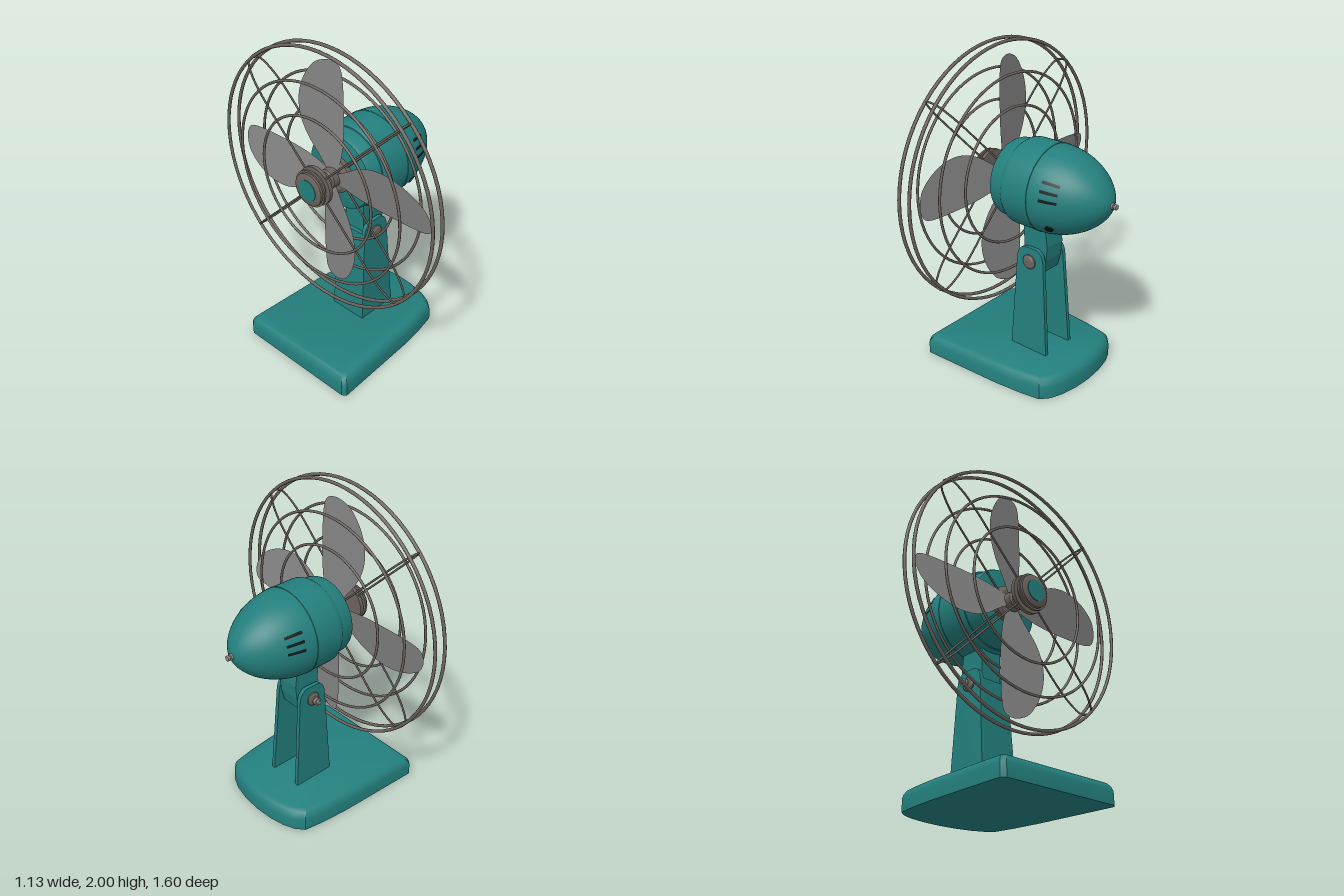
import * as THREE from 'three';
import { toCreasedNormals } from 'three/addons/utils/BufferGeometryUtils.js';

const V2 = (x, y) => new THREE.Vector2(x, y);

export function createModel() {
  const mat = (name, color, side = THREE.FrontSide) => {
    const m = new THREE.MeshStandardMaterial({ color, side });
    m.name = name;
    return m;
  };
  const teal = mat('teal enamel', 0x237f7d);
  const wire = mat('bronze wire', 0x6b635d);
  const grey = mat('blade grey', 0x858585, THREE.DoubleSide);
  const steel = mat('steel', 0x8c8985);
  const black = mat('vent black', 0x141818, THREE.DoubleSide);

  const model = new THREE.Group();
  model.name = 'deskFan';
  const head = new THREE.Group();
  head.name = 'fanHead';
  head.position.y = 1.2;
  model.add(head);

  const add = (parent, name, geo, material, x = 0, y = 0, z = 0) => {
    const m = new THREE.Mesh(geo, material);
    m.name = name;
    m.position.set(x, y, z);
    parent.add(m);
    return m;
  };
  // Turned part along the x axis from [x, radius] pairs
  const turned = (pts, seg = 48, start = 0, len = Math.PI * 2) => toCreasedNormals(
    new THREE.LatheGeometry(pts.map(([x, r]) => V2(r, x)), seg, start, len).rotateZ(-Math.PI / 2), 0.5);
  // Move every vertex of a geometry by a rule
  const warp = (geo, rule) => {
    const p = geo.attributes.position;
    for (let i = 0; i < p.count; i++) p.setXYZ(i, ...rule(p.getX(i), p.getY(i), p.getZ(i)));
    geo.computeVertexNormals();
    return geo;
  };

  // Base: tapered outline lofted upward with a rounded top edge
  const half = [[-0.57, 0.39], [-0.55, 0.414], [0, 0.388], [0.17, 0.37], [0.3, 0.347],
    [0.345, 0.295], [0.375, 0.225], [0.397, 0.12]];
  const outline = [...half, [0.405, 0], ...half.map(([x, z]) => [x, -z]).reverse()];
  const levels = [[0, 0], [0.075, 0], [0.1, 0.008], [0.12, 0.024], [0.13, 0.045]];
  const pos = [], idx = [], n = outline.length;
  for (const [y, inset] of levels)
    for (const [x, z] of outline)
      pos.push(-0.08 + (x + 0.08) * (1 - inset / 0.49), y, z * (1 - inset / 0.41));
  for (let l = 0; l < levels.length - 1; l++)
    for (let i = 0; i < n; i++) {
      const a = l * n + i, b = l * n + (i + 1) % n;
      idx.push(a, b, b + n, a, b + n, a + n);
    }
  const top = (levels.length - 1) * n;
  for (let i = 1; i < n - 1; i++) idx.push(0, i + 1, i, top, top + i, top + i + 1);
  const baseGeo = new THREE.BufferGeometry();
  baseGeo.setAttribute('position', new THREE.Float32BufferAttribute(pos, 3));
  baseGeo.setIndex(idx);
  add(model, 'base', toCreasedNormals(baseGeo, 0.5), teal);

  // Stand: two leaning cheeks with round tops, joined by a front wall
  const cheek = new THREE.Shape();
  cheek.moveTo(-0.105, 0.12);
  cheek.lineTo(0.17, 0.12);
  cheek.lineTo(0.131, 0.74);
  cheek.quadraticCurveTo(0.125, 0.82, 0.06, 0.82);
  cheek.lineTo(0.01, 0.82);
  cheek.quadraticCurveTo(-0.06, 0.82, -0.066, 0.74);
  cheek.closePath();
  for (const s of [1, -1]) {
    const g = new THREE.ExtrudeGeometry(cheek, { depth: 0.025, bevelEnabled: false, curveSegments: 10 });
    warp(g, (x, y, z) => [x, y, z - 0.0125 + s * (0.112 - (y - 0.12) * 0.028)]);
    add(model, s > 0 ? 'standCheekLeft' : 'standCheekRight', toCreasedNormals(g, 0.5), teal);
  }
  const wall = warp(new THREE.BoxGeometry(0.025, 0.63, 0.2), (x, y, z) => {
    const t = y / 0.63 + 0.5;
    return [x - 0.0925 + t * 0.04, y + 0.435, z * (1.1 - t * 0.18)];
  });
  add(model, 'standFrontWall', wall, teal);

  // Neck that carries the motor
  const neck = new THREE.Shape([V2(-0.04, 1.02), V2(-0.04, 0.66), V2(0.1, 0.66), V2(0.125, 0.75),
    V2(0.135, 0.84), V2(0.125, 0.92), V2(0.11, 1.02)]);
  add(model, 'neck', new THREE.ExtrudeGeometry(neck, { depth: 0.144, bevelEnabled: false }), teal, 0, 0, -0.072);

  // Tilt bolt with domed head, washer and wing nut
  const bolt = new THREE.Group();
  bolt.name = 'tiltBolt';
  bolt.position.set(0.03, 0.73, 0);
  model.add(bolt);
  const alongZ = (pts) => turned(pts, 24).rotateY(-Math.PI / 2);
  add(bolt, 'boltHead', alongZ([[0.1, 0.045], [0.115, 0.045], [0.124, 0.034], [0.13, 0]]), wire);
  add(bolt, 'washer', alongZ([[-0.125, 0], [-0.122, 0.034], [-0.115, 0.043], [-0.1, 0.043]]), wire);
  add(bolt, 'boltEnd', alongZ([[-0.168, 0], [-0.168, 0.013], [-0.12, 0.013]]), steel);
  add(bolt, 'nut', new THREE.CylinderGeometry(0.026, 0.026, 0.018, 6).rotateX(Math.PI / 2), steel, 0, 0, -0.143);

  // Motor housing
  const shell = (x) => 0.263 * Math.pow(Math.max(0, 1 - Math.pow((x - 0.13) / 0.4, 1.9)), 0.6);
  const housing = [[-0.17, 0], [-0.17, 0.205], [-0.162, 0.228], [-0.145, 0.236], [-0.07, 0.244],
    [-0.068, 0.25], [-0.05, 0.261], [-0.03, 0.263], [0.13, 0.263]];
  for (let i = 1; i <= 20; i++) {
    const x = 0.13 + 0.4 * Math.sin(i / 20 * Math.PI / 2);
    housing.push([x, i === 20 ? 0 : shell(x)]);
  }
  add(head, 'motorHousing', turned(housing, 64), teal);
  add(head, 'housingSeam', turned([[0.126, 0.262], [0.128, 0.2655], [0.134, 0.2655], [0.137, 0.261]], 64), teal);
  add(head, 'rearKnob', turned([[0.515, 0.012], [0.53, 0.012], [0.53, 0.019], [0.542, 0.019], [0.542, 0.01],
    [0.549, 0.01], [0.549, 0.016], [0.562, 0.016], [0.565, 0]], 16), steel);

  // Cooling slots on both sides, wrapped on the housing
  const slot = [0, 1, 2, 3, 4].map((i) => [0.215 + i * 0.026, shell(0.215 + i * 0.026) + 0.003]);
  for (const dy of [0.028, 0.075, 0.12])
    for (const s of [1, -1]) {
      const a = Math.asin(dy / 0.235);
      add(head, 'coolingSlot', turned(slot, 3, (s > 0 ? -a : Math.PI + a) - 0.035, 0.07), black);
    }
  // Switch hole on the left side
  const a = Math.asin(0.155 / shell(0.245));
  const hole = add(head, 'switchHole', new THREE.CylinderGeometry(0.025, 0.025, 0.009, 20), black,
    0.245, -0.155, Math.cos(a) * shell(0.245));
  hole.quaternion.setFromUnitVectors(new THREE.Vector3(0, 1, 0),
    new THREE.Vector3(0.35, -Math.sin(a), Math.cos(a)).normalize());

  // Hubs along the fan axis
  add(head, 'rearHub', turned([[-0.215, 0], [-0.215, 0.085], [-0.2, 0.112], [-0.165, 0.112]]), wire);
  add(head, 'bladeHub', turned([[-0.275, 0], [-0.275, 0.05], [-0.265, 0.06], [-0.2, 0.06]], 32), wire);
  add(head, 'frontHub', turned([[-0.418, 0], [-0.418, 0.085], [-0.41, 0.1], [-0.395, 0.1], [-0.395, 0.112],
    [-0.382, 0.112], [-0.382, 0.09], [-0.36, 0.09], [-0.36, 0.118], [-0.337, 0.118], [-0.337, 0]]), wire);
  add(head, 'frontHubBadge', turned([[-0.422, 0], [-0.422, 0.065], [-0.416, 0.065]], 32), teal);

  // Four pitched blades
  const blade = new THREE.Shape();
  blade.moveTo(-0.035, 0.04);
  blade.splineThru([[-0.065, 0.15], [-0.08, 0.3], [-0.082, 0.45], [-0.078, 0.6], [-0.062, 0.685], [-0.02, 0.714],
    [0.04, 0.71], [0.11, 0.67], [0.175, 0.57], [0.208, 0.45], [0.2, 0.33], [0.155, 0.22], [0.085, 0.12],
    [0.035, 0.04]].map(([x, y]) => V2(x, y)));
  const bladeGeo = warp(new THREE.ShapeGeometry(blade, 4), (u, v) => [-0.222 - 0.18 * u, v, -u]);
  for (let i = 0; i < 4; i++) add(head, 'blade', bladeGeo, grey).rotation.x = i * Math.PI / 2;

  // Guard rings: [x, radius, wire radius]
  for (const [x, r, t] of [[-0.305, 0.79, 0.01], [-0.227, 0.79, 0.01], [-0.352, 0.612, 0.008],
    [-0.18, 0.612, 0.008], [-0.358, 0.417, 0.008], [-0.174, 0.417, 0.008]])
    add(head, 'guardRing', new THREE.TorusGeometry(r, t, 8, 72).rotateY(Math.PI / 2), wire, x);

  // Guard spokes: each wire loops from the front hub over the rim to the rear hub
  const path = new THREE.CatmullRomCurve3([[-0.35, 0.08], [-0.35, 0.35], [-0.347, 0.6], [-0.333, 0.71],
    [-0.305, 0.785], [-0.266, 0.8], [-0.227, 0.785], [-0.199, 0.71], [-0.184, 0.6], [-0.181, 0.35],
    [-0.181, 0.08]].map(([x, r]) => new THREE.Vector3(x, r, 0)));
  const spoke = new THREE.TubeGeometry(path, 60, 0.006, 6);
  for (let i = 0; i < 4; i++) add(head, 'guardSpoke', spoke, wire).rotation.x = Math.PI / 4 + i * Math.PI / 2;

  return model;
}
